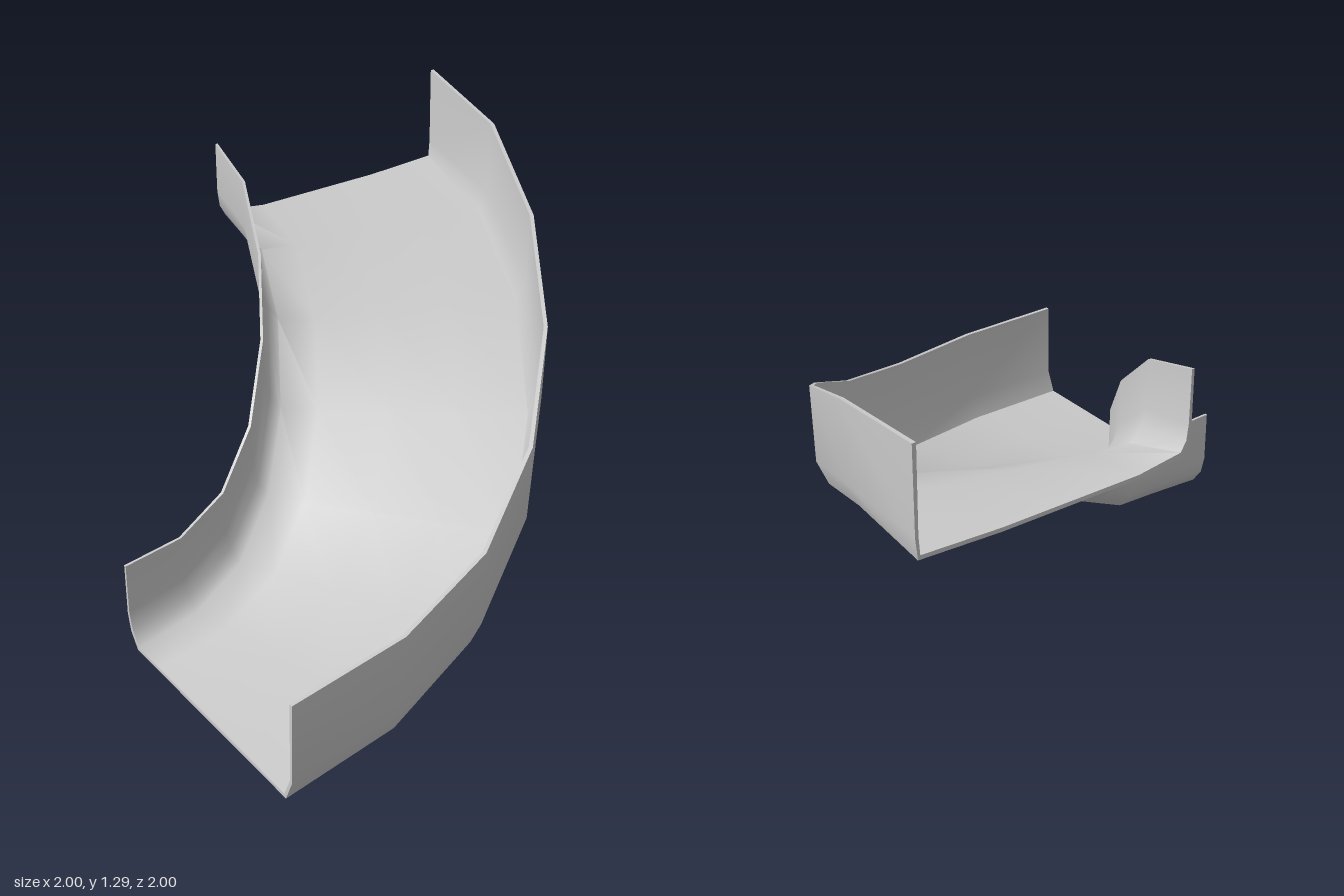
import * as THREE from 'three';
import { mergeVertices, toCreasedNormals } from 'three/addons/utils/BufferGeometryUtils.js';

// Stations along the quarter turn, from the low exit to the high entry
const FLOOR = [0, 0.03, 0.095, 0.235, 0.455, 0.685, 0.855, 0.907];
const INNER_TOP = [0.31, 0.32, 0.38, 0.52, 0.74, 0.965, 1.15, 1.215];
const OUTER_TOP = [0.38, 0.405, 0.46, 0.6, 0.82, 1.04, 1.22, 1.29];
const STEPS = FLOOR.length - 1;
const THICK = 0.014;

// Closed trough section as [radius, height]: the underside from the inner rim
// to the outer rim, then the sliding surface back again
function section(i) {
  const f = FLOOR[i], a = INNER_TOP[i], b = OUTER_TOP[i];
  const entry = i === STEPS;
  const sag = i === 0 || entry ? 0 : 0.005;
  const edge = entry ? 1.988 : 1.953;
  const floor = [1.2, 1.45, 1.7].map((r) => [r, f - sag]);
  const under = [
    [1, a], [1, f + 0.12],
    ...(entry ? [[1.008, f + 0.06], [1.03, f + 0.018]] : [[1.015, f + 0.055], [1.055, f]]),
    ...floor,
    [edge, entry ? f + 0.012 : f], [entry ? 1.996 : 1.99, f + 0.085], [2, b],
  ];
  const over = [
    [1 + THICK * 0.7, a], [1 + THICK * 0.8, f + 0.125],
    ...(entry ? [[1.018, f + 0.07], [1.038, f + 0.036]] : [[1.027, f + 0.065], [1.065, f + THICK]]),
    ...floor.map(([r, y]) => [r, y + THICK]),
    [edge - 0.008, f + (entry ? 0.026 : THICK)], [entry ? 1.985 : 1.979, f + 0.09], [2 - THICK, b],
  ];
  return under.concat(over.reverse());
}

function troughGeometry() {
  const positions = [], index = [];
  const n = section(0).length;
  for (let i = 0; i <= STEPS; i++) {
    const angle = (i / STEPS) * Math.PI / 2;
    for (const [r, y] of section(i)) {
      positions.push(-1 + r * Math.cos(angle), y, 1 - r * Math.sin(angle));
    }
  }
  // Skin between sections; both layers split their quads along the same diagonal
  for (let i = 0; i < STEPS; i++) {
    for (let j = 0; j < n; j++) {
      const a = i * n + j, b = i * n + (j + 1) % n, c = a + n, d = b + n;
      if (j < n / 2) index.push(a, c, b, b, c, d);
      else index.push(a, c, d, a, d, b);
    }
  }
  // Thin end faces at the exit and the entry
  const top = STEPS * n;
  for (let k = 0; k < n / 2 - 1; k++) {
    const a = k, b = k + 1, c = n - 2 - k, d = n - 1 - k;
    index.push(a, b, c, a, c, d);
    index.push(top + a, top + c, top + b, top + a, top + d, top + c);
  }
  const geometry = new THREE.BufferGeometry();
  geometry.setAttribute('position', new THREE.Float32BufferAttribute(positions, 3));
  geometry.setIndex(index);
  return toCreasedNormals(mergeVertices(geometry), 0.98);
}

export function createModel() {
  const group = new THREE.Group();
  group.name = 'curvedSlide';
  const material = new THREE.MeshStandardMaterial({ color: 0xcccccc, side: THREE.DoubleSide });
  const trough = new THREE.Mesh(troughGeometry(), material);
  trough.name = 'slideTrough';
  group.add(trough);
  return group;
}
